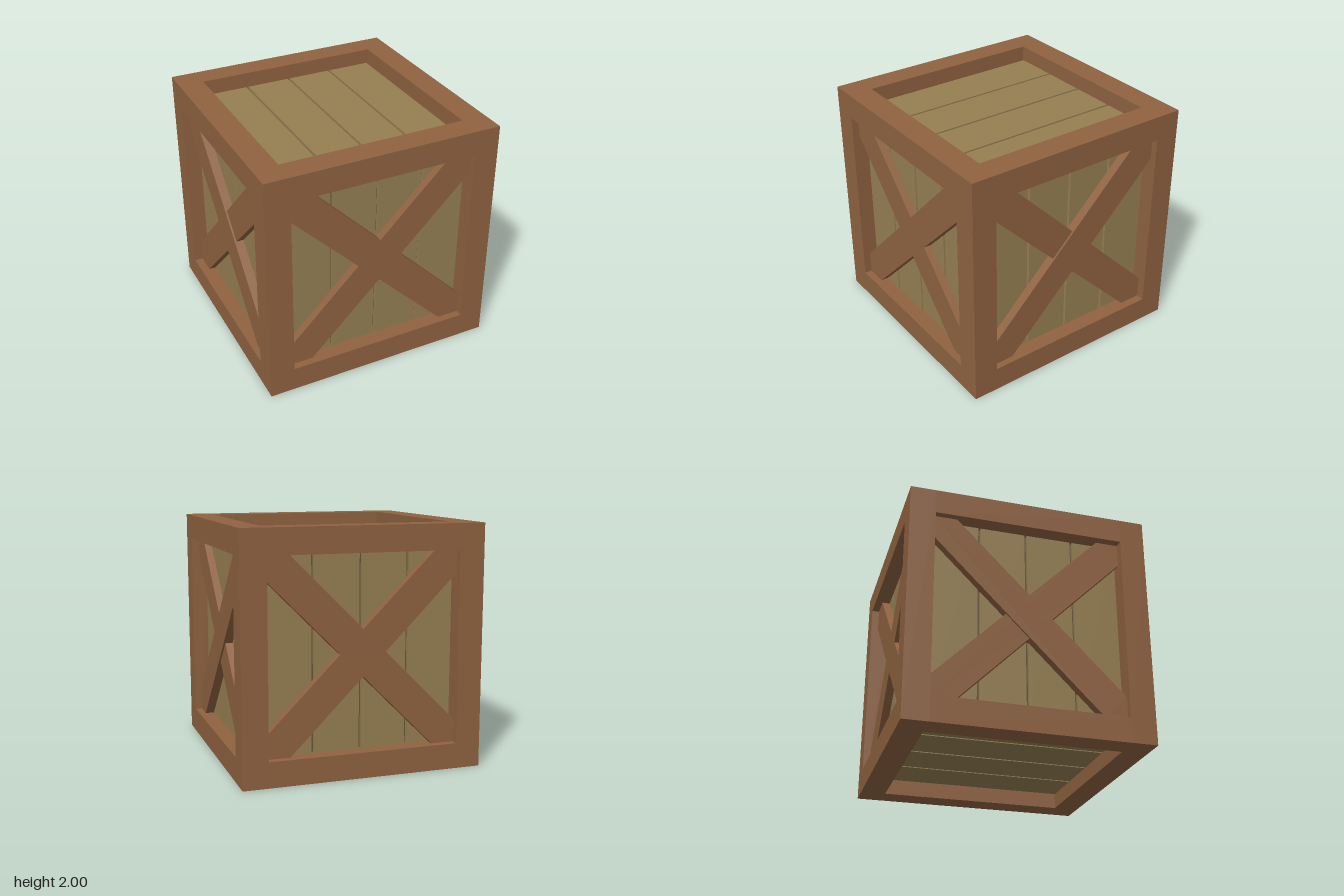
import * as THREE from 'three';

const frameMat = new THREE.MeshStandardMaterial({ color: 0x8f6240 });
const plankMat = new THREE.MeshStandardMaterial({ color: 0x967f52 });
const gapMat = new THREE.MeshStandardMaterial({ color: 0x665637 });

const BEAM = 0.21;            // square section of the frame timbers
const INNER = 1 - BEAM;       // half size of each opening
const PLANK_FACE = 0.87;      // distance from the centre to the plank surface
const PLANK_DEPTH = 0.03;
const NOTCH = 0.19;           // half of a brace's width, measured along an axis

function box(name, mat, w, h, d, x, y, z) {
  const mesh = new THREE.Mesh(new THREE.BoxGeometry(w, h, d), mat);
  mesh.name = name;
  mesh.position.set(x, y, z);
  return mesh;
}

// Flat timber cut from an outline, its outer surface at distance "face"
function board(name, points, face) {
  const depth = face - PLANK_FACE + 0.01;
  const shape = new THREE.Shape(points.map(([x, y]) => new THREE.Vector2(x, y)));
  const geo = new THREE.ExtrudeGeometry(shape, { depth, bevelEnabled: false });
  const mesh = new THREE.Mesh(geo, frameMat);
  mesh.name = name;
  mesh.position.z = face - depth;
  return mesh;
}

// One diagonal, trimmed to the corners of the opening
function diagonalBrace(name, face, slope) {
  const e = INNER, c = INNER - NOTCH;
  const pts = [[e, c], [e, e], [c, e], [-e, -c], [-e, -e], [-c, -e]];
  return board(name, pts.map(([x, y]) => [x * slope, y]), face);
}

// Both diagonals joined flush in one plane
function crossBrace(face) {
  const e = INNER, c = INNER - NOTCH;
  const pts = [];
  for (let q = 0; q < 4; q++) {
    for (let [x, y] of [[NOTCH, 0], [e, c], [e, e], [c, e]]) {
      for (let i = 0; i < q; i++) [x, y] = [-y, x];
      pts.push([x, y]);
    }
  }
  return board('crossBrace', pts, face);
}

// Four planks with dark gaps between them, facing +z
function plankPanel(name) {
  const panel = new THREE.Group();
  panel.name = name;
  const pitch = INNER / 2;
  for (let i = 0; i < 4; i++) {
    panel.add(box('plank', plankMat, pitch - 0.02, INNER * 2, PLANK_DEPTH,
      (i - 1.5) * pitch, 0, PLANK_FACE - PLANK_DEPTH / 2));
  }
  panel.add(box('gapBacking', gapMat, INNER * 2, INNER * 2, 0.02, 0, 0, PLANK_FACE - PLANK_DEPTH - 0.01));
  return panel;
}

export function createModel() {
  const crate = new THREE.Group();
  crate.name = 'crate';
  const body = new THREE.Group();
  body.name = 'body';
  body.position.y = 1;
  crate.add(body);

  // Frame: corner posts and the rails between them
  const frame = new THREE.Group();
  frame.name = 'frame';
  const mid = 1 - BEAM / 2;
  for (const a of [-mid, mid]) {
    for (const b of [-mid, mid]) {
      frame.add(box('cornerPost', frameMat, BEAM, 2, BEAM, a, 0, b));
      frame.add(box('crossRail', frameMat, INNER * 2, BEAM, BEAM, 0, a, b));
      frame.add(box('sideRail', frameMat, BEAM, BEAM, INNER * 2, a, b, 0));
    }
  }
  body.add(frame);

  // Plank panels on all six sides
  const q = Math.PI / 2;
  const panels = {};
  for (const [name, rx, ry] of [['frontPanel', 0, 0], ['backPanel', 0, 2 * q], ['leftPanel', 0, q],
    ['rightPanel', 0, -q], ['topPanel', -q, 0], ['bottomPanel', q, 0]]) {
    const panel = plankPanel(name);
    panel.rotation.set(rx, ry, 0);
    panels[name] = panel;
    body.add(panel);
  }

  // Flush crosses front and back, overlapping braces on the two sides
  for (const name of ['frontPanel', 'backPanel']) panels[name].add(crossBrace(0.937));
  for (const [name, slope] of [['leftPanel', 1], ['rightPanel', -1]]) {
    panels[name].add(diagonalBrace('outerBrace', 0.945, slope));
    panels[name].add(diagonalBrace('innerBrace', 0.93, -slope));
  }
  // Mirrored outlines are wound correctly again by the extrusion
  return crate;
}
